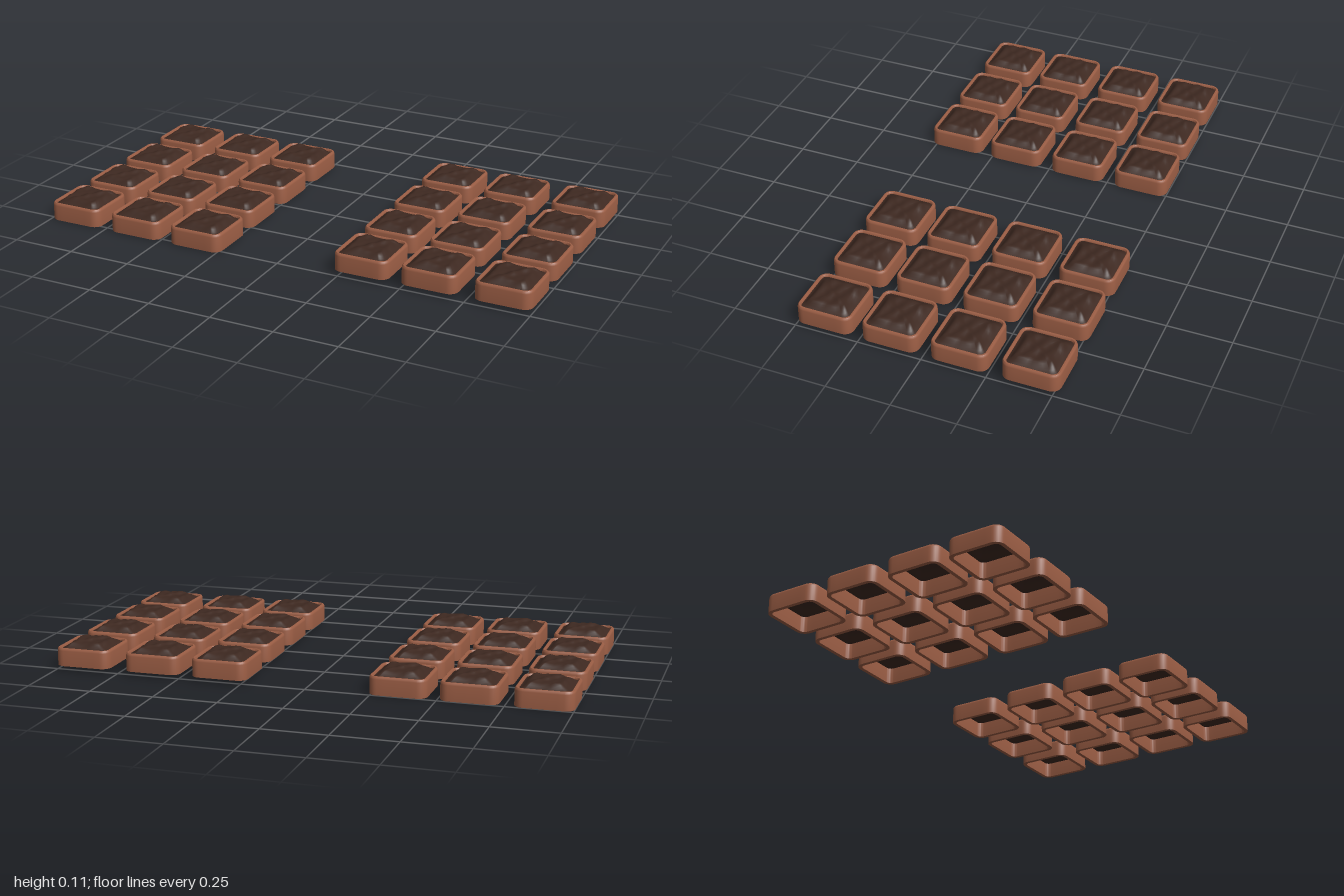
import * as THREE from 'three';
import { toCreasedNormals } from 'three/addons/utils/BufferGeometryUtils.js';

const ARC = 6, SIDE = 6;

// Outline of a rounded square with half width h and corner radius r, as [x, z] pairs
function roundedSquare(h, r) {
  const pts = [];
  const c = h - r;
  for (let k = 0; k < 4; k++) {
    const cx = k === 0 || k === 3 ? c : -c;
    const cz = k < 2 ? c : -c;
    for (let i = 0; i <= ARC; i++) {
      const a = (k + i / ARC) * Math.PI / 2;
      pts.push([cx + r * Math.cos(a), cz + r * Math.sin(a)]);
    }
    // straight run to the next corner
    const a = (k + 1) * Math.PI / 2;
    for (let i = 1; i < SIDE; i++) {
      const d = 2 * c * i / SIDE;
      pts.push([cx + r * Math.cos(a) - Math.sin(a) * d, cz + r * Math.sin(a) + Math.cos(a) * d]);
    }
  }
  return pts;
}

// Skin a list of rings ({ h, r, y }), where y may be a function of x and z
function loft(rings) {
  const pos = [], index = [];
  let n = 0;
  for (const { h, r, y } of rings) {
    const pts = roundedSquare(h, r);
    n = pts.length;
    for (const [x, z] of pts) pos.push(x, typeof y === 'function' ? y(x, z) : y, z);
  }
  for (let j = 0; j < rings.length - 1; j++) {
    for (let i = 0; i < n; i++) {
      const a = j * n + i, b = j * n + (i + 1) % n;
      index.push(a, a + n, b, b, a + n, b + n);
    }
  }
  const geo = new THREE.BufferGeometry();
  geo.setAttribute('position', new THREE.Float32BufferAttribute(pos, 3));
  geo.setIndex(index);
  geo.computeVertexNormals();
  return geo;
}

// Open-bottomed planter wall with a softened rim
function planterGeometry() {
  const profile = [
    [0.11, 0], [0.11, 0.06], [0.1085, 0.066], [0.105, 0.07],
    [0.099, 0.07], [0.096, 0.066], [0.095, 0.06], [0.095, 0], [0.11, 0],
  ];
  return toCreasedNormals(loft(profile.map(([h, y]) => ({ h, r: h - 0.075, y }))), 0.8);
}

// Lumpy soil sheet that climbs from the rim to an uneven plateau
function soilGeometry() {
  const rings = [];
  const steps = 14;
  for (let j = 0; j <= steps; j++) {
    const s = 1 - j / steps;
    const rise = THREE.MathUtils.smoothstep(1 - s, 0, 0.38);
    const y = (x, z) => 0.062 + rise * (0.0225
      + 0.0025 * Math.sin(75 * x + 40 * z + 0.6)
      + 0.002 * Math.sin(115 * z - 45 * x + 1)
      + 0.0015 * Math.sin(130 * x + 90 * z));
    rings.push({ h: 0.096 * s, r: 0.022 * s, y });
  }
  return loft(rings);
}

export function createModel() {
  const model = new THREE.Group();
  model.name = 'planterGrid';
  const clay = new THREE.MeshStandardMaterial({ color: 0x9c5e45 });
  const earth = new THREE.MeshStandardMaterial({ color: 0x3d2820, side: THREE.DoubleSide });
  const potGeo = planterGeometry();
  const soilGeo = soilGeometry();

  // Two beds of three by four planters, the left one slightly raised
  const beds = [
    { name: 'rightBed', y: 0, xs: [-0.89, -0.617, -0.35], zs: [-0.387, -0.117, 0.153, 0.412] },
    { name: 'leftBed', y: 0.018, xs: [0.336, 0.605, 0.89], zs: [-0.412, -0.14, 0.128, 0.388] },
  ];
  for (const { name, y, xs, zs } of beds) {
    const bed = new THREE.Group();
    bed.name = name;
    bed.position.y = y;
    for (const x of xs) {
      for (const z of zs) {
        const planter = new THREE.Group();
        planter.name = 'planter';
        const pot = new THREE.Mesh(potGeo, clay);
        pot.name = 'pot';
        const soil = new THREE.Mesh(soilGeo, earth);
        soil.name = 'soil';
        planter.add(pot, soil);
        planter.position.set(x, 0, z);
        bed.add(planter);
      }
    }
    model.add(bed);
  }
  return model;
}
